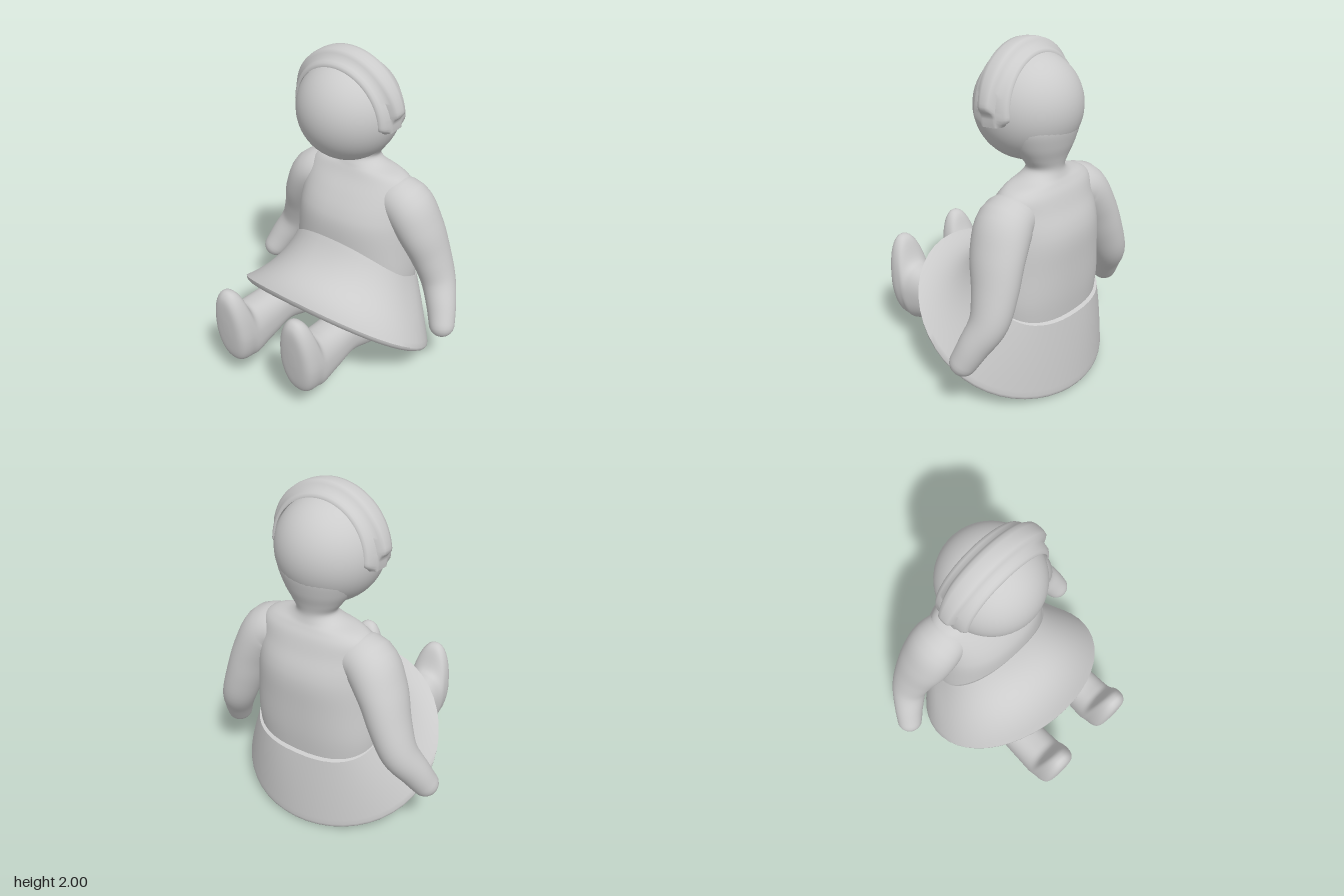
import * as THREE from 'three';
import { toCreasedNormals } from 'three/addons/utils/BufferGeometryUtils.js';

const material = new THREE.MeshStandardMaterial({ color: 0xcccccc, side: THREE.DoubleSide });
const V = (x, y, z) => new THREE.Vector3(x, y, z);
const { smoothstep, degToRad } = THREE.MathUtils;
const CX = 0.015; // the body sits slightly to its left

// Smoothly resample rows of numbers (Catmull-Rom on every column).
function smooth(rows, n) {
  const last = rows.length - 1, at = i => rows[Math.min(last, Math.max(0, i))];
  return Array.from({ length: n + 1 }, (_, k) => {
    const f = k / n * last, i = Math.min(last - 1, Math.floor(f)), t = f - i;
    return rows[0].map((_, c) => {
      const [a, b, d, e] = [at(i - 1)[c], at(i)[c], at(i + 1)[c], at(i + 2)[c]];
      return b + 0.5 * t * (d - a + t * (2 * a - 5 * b + 4 * d - e + t * (3 * (b - d) + e - a)));
    });
  });
}

// Closed skin over a row of rings, with fan caps; turned to face outwards.
function loft(rings, crease = 0) {
  const n = rings[0].length, points = rings.flat(), index = [];
  const quad = (a, b, c, d) => index.push(a, b, c, a, c, d);
  for (let r = 0; r < rings.length - 1; r++) {
    for (let i = 0; i < n; i++) {
      const j = (i + 1) % n;
      quad(r * n + i, r * n + j, (r + 1) * n + j, (r + 1) * n + i);
    }
  }
  for (const r of [0, rings.length - 1]) {
    const mid = rings[r].reduce((s, p) => s.add(p), V(0, 0, 0)).divideScalar(n);
    const c = points.push(mid) - 1;
    for (let i = 0; i < n; i++) {
      const a = r * n + i, b = r * n + (i + 1) % n;
      r ? index.push(a, b, c) : index.push(b, a, c);
    }
  }
  let volume = 0;
  for (let i = 0; i < index.length; i += 3) {
    volume += points[index[i]].dot(V(0, 0, 0).crossVectors(points[index[i + 1]], points[index[i + 2]]));
  }
  if (volume < 0) index.reverse();
  const g = new THREE.BufferGeometry().setFromPoints(points);
  g.setIndex(index);
  g.computeVertexNormals();
  return crease ? toCreasedNormals(g, crease) : g;
}

// Ring of points by angle, 0 at the front; bulge makes an oval slightly boxy.
const SIDES = 48;
const around = f => Array.from({ length: SIDES }, (_, i) => f(i / SIDES * Math.PI * 2));
const bulge = (v, power = 0.85) => Math.sign(v) * Math.abs(v) ** power;

function part(parent, name, geometry) {
  const mesh = new THREE.Mesh(geometry, material);
  mesh.name = name;
  parent.add(mesh);
  return mesh;
}

// Torso, neck and nape: height, half width, centre z, half depth, boxiness
function torso() {
  const rows = [
    [0.4, 0.38, -0.31, 0.25, 0.85], [0.6, 0.4, -0.31, 0.268, 0.85], [0.8, 0.39, -0.308, 0.274, 0.87],
    [0.94, 0.38, -0.31, 0.272, 0.88], [1.03, 0.37, -0.315, 0.25, 0.88], [1.12, 0.36, -0.322, 0.205, 0.87],
    [1.2, 0.345, -0.335, 0.16, 0.87], [1.245, 0.29, -0.335, 0.132, 0.9], [1.275, 0.175, -0.335, 0.115, 0.95],
    [1.32, 0.12, -0.34, 0.1, 1], [1.38, 0.155, -0.335, 0.118, 1], [1.46, 0.21, -0.315, 0.165, 1],
    [1.57, 0.255, -0.29, 0.21, 1], [1.66, 0.22, -0.27, 0.2, 1],
  ];
  return loft(smooth(rows, 65).map(([y, w, z, d, p]) =>
    around(a => V(CX + w * bulge(Math.sin(a), p), y, z + d * bulge(Math.cos(a), p)))));
}

// Skirt: a curve from the sloping waist to the tilted, sagging hem
function skirt() {
  const hem = (a, k, drop) => {
    const u = Math.cos(a) * k;
    return V(CX + 0.613 * Math.sin(a) * k, 0.275 + 0.315 * u + 0.07 * u * u - drop, -0.115 + 0.508 * u);
  };
  const ring = t => around(a => {
    const s = Math.sin(a), c = Math.cos(a);
    const waist = V(CX + 0.405 * bulge(s), 0.6 + 0.185 * c + 0.065 * c * c, -0.31 + 0.279 * bulge(c));
    const edge = hem(a, 1, 0);
    const pull = waist.clone().lerp(edge, 0.34 + 0.4 * Math.max(0, -c)).setY(0.43 + 0.15 * c);
    return new THREE.QuadraticBezierCurve3(waist, pull, edge).getPoint(t);
  });
  const rings = Array.from({ length: 17 }, (_, i) => ring(i / 16));
  // rounded lip, then the underside
  const under = [[0.997, 0.014], [0.985, 0.026], [0.965, 0.034], [0.94, 0.034], [0.8, 0.022],
    [0.6, 0.015], [0.4, 0.01], [0.2, 0.01]];
  for (const [k, drop] of under) rings.push(around(a => hem(a, k, drop)));
  return loft(rings, 0.9);
}

// Arm along a bent path: x, y, z, radius, front-to-back widening; rounded at the hand
function arm(side) {
  const path = smooth([
    [0.2, 1.1, -0.335, 0.115, 1.1], [0.345, 1.085, -0.335, 0.145, 1.12], [0.44, 0.94, -0.36, 0.13, 1.25],
    [0.505, 0.77, -0.395, 0.114, 1.2], [0.565, 0.61, -0.405, 0.102, 1.1], [0.63, 0.475, -0.355, 0.09, 1],
    [0.67, 0.375, -0.312, 0.078, 1],
  ], 30).map(([x, y, z, r, wide], i) => ({
    p: V(side > 0 ? x : -x + 0.05 * (1 - i / 30) - 0.01, y - side * 0.015 * i / 30, z), r, wide,
  }));
  const end = path[30], dir = end.p.clone().sub(path[28].p).normalize();
  for (let i = 1; i <= 5; i++) {
    const a = i / 5 * 1.45;
    path.push({ p: end.p.clone().addScaledVector(dir, Math.sin(a) * end.r), r: end.r * Math.cos(a), wide: 1 });
  }
  return loft(path.map(({ p, r, wide }, i) => {
    const t = path[Math.min(i + 1, path.length - 1)].p.clone().sub(path[Math.max(i - 1, 0)].p).normalize();
    const n = V(0, 0, 1).cross(t).normalize(), b = t.clone().cross(n);
    return around(a => p.clone().addScaledVector(n, r * Math.cos(a)).addScaledVector(b, r * wide * Math.sin(a)));
  }));
}

// Leg and upturned foot: z, centre y, half width, half height
function leg(side) {
  const rows = [
    [-0.3, 0.37, 0.12, 0.17], [-0.18, 0.345, 0.135, 0.18], [0.0, 0.365, 0.13, 0.15],
    [0.15, 0.385, 0.118, 0.135], [0.3, 0.365, 0.122, 0.152], [0.4, 0.355, 0.125, 0.17],
    [0.46, 0.365, 0.127, 0.19], [0.5, 0.425, 0.127, 0.25], [0.545, 0.44, 0.124, 0.262],
    [0.58, 0.44, 0.11, 0.24], [0.6, 0.445, 0.078, 0.18], [0.607, 0.45, 0.02, 0.05],
  ];
  return loft(smooth(rows, 55).map(([z, y, w, h]) => around(a => {
    const py = y + h * bulge(Math.cos(a));
    const foot = smoothstep(z, 0.35, 0.5);
    const narrow = 1 - foot * 0.6 * Math.max(0, py - 0.4);
    return V(side * 0.246 + 0.013 + w * narrow * bulge(Math.sin(a)), py - (side < 0 ? 0.012 * foot : 0),
      z + foot * (py - 0.45) * 0.11 + (side < 0 ? 0.012 : -0.01) * foot);
  })));
}

// Headband: thin domed strap with a ridge that narrows and stops short of the strap ends
function headband() {
  const rings = [];
  for (let i = 0; i <= 72; i++) {
    const sweep = 196 * i / 72, a = degToRad(-8 + sweep);
    const fromEnd = Math.min(sweep, 196 - sweep);
    const ridge = 0.042 * smoothstep(fromEnd, 10, 18);
    const slim = 0.7 + 0.3 * smoothstep(fromEnd, 10, 60);
    const w = 0.118 - 0.04 * (1 - smoothstep(fromEnd, 0, 7));
    const half = [[w, 0.288], [w, 0.298], [w - 0.008, 0.308], [w - 0.022, 0.318], [0.072 * slim, 0.325],
      [0.06 * slim, 0.328 + ridge * 0.5], [0.045 * slim, 0.328 + ridge * 0.9], [0.02 * slim, 0.328 + ridge]];
    const section = [...half.map(([z, r]) => [-z, r]), ...half.reverse()];
    rings.push(section.map(([z, r]) => V(Math.cos(a) * r, Math.sin(a) * r, z)));
  }
  return loft(rings, 1);
}

export function createModel() {
  const model = new THREE.Group();
  model.name = 'seatedFigure';
  part(model, 'torso', torso());
  part(model, 'head', new THREE.SphereGeometry(0.303, 48, 32)).position.set(CX - 0.005, 1.637, -0.213);
  const band = part(model, 'headband', headband());
  band.position.set(CX, 1.63, -0.208);
  band.rotation.x = 0.09;
  part(model, 'skirt', skirt());
  for (const [side, name] of [[1, 'left'], [-1, 'right']]) {
    part(model, name + 'Arm', arm(side));
    part(model, name + 'Leg', leg(side));
  }
  return model;
}
